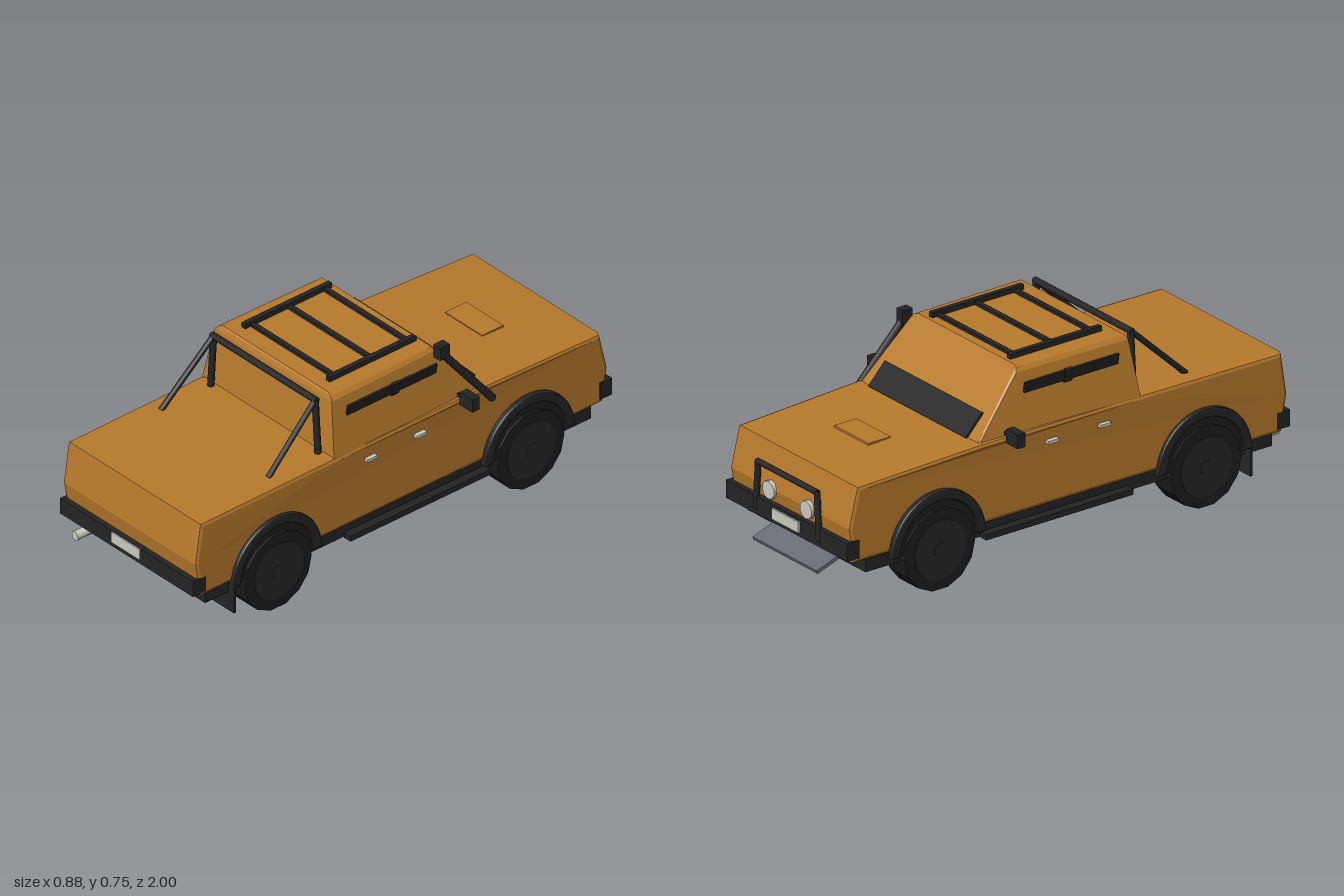
import * as THREE from 'three';
import { toCreasedNormals } from 'three/addons/utils/BufferGeometryUtils.js';
import { ConvexGeometry } from 'three/addons/geometries/ConvexGeometry.js';

const mat = (name, color) => new THREE.MeshStandardMaterial({ name, color });

export function createModel() {
  const paint = mat('orange paint', 0xb87a2c);
  const trim = mat('black trim', 0x242424);
  const rubber = mat('tyre rubber', 0x1c1c1c);
  const rim = mat('dark rim', 0x262626);
  const silver = mat('pale silver', 0xcaccc2);
  const steel = mat('skid grey', 0x6a6a72);

  const truck = new THREE.Group();
  truck.name = 'pickupTruck';

  const add = (name, geo, material, x = 0, y = 0, z = 0) => {
    const mesh = new THREE.Mesh(geo, material);
    mesh.name = name;
    mesh.position.set(x, y, z);
    truck.add(mesh);
    return mesh;
  };
  // box given by its limits on each axis
  const box = (name, m, x0, x1, y0, y1, z0, z1) =>
    add(name, new THREE.BoxGeometry(x1 - x0, y1 - y0, z1 - z0), m,
      (x0 + x1) / 2, (y0 + y1) / 2, (z0 + z1) / 2);
  // straight round bar between two points
  const bar = (name, m, a, b, r) => {
    const p = new THREE.Vector3(...a), q = new THREE.Vector3(...b);
    const d = q.clone().sub(p);
    const mesh = add(name, new THREE.CylinderGeometry(r, r, d.length(), 10), m);
    mesh.position.copy(p).add(q).multiplyScalar(0.5);
    mesh.quaternion.setFromUnitVectors(new THREE.Vector3(0, 1, 0), d.normalize());
    return mesh;
  };
  // side profile (z, y) extruded across the width
  const extrudeX = (shape, width, bevel) => {
    const geo = new THREE.ExtrudeGeometry(shape, {
      depth: width - 2 * bevel, bevelEnabled: bevel > 0, bevelSize: bevel,
      bevelThickness: bevel, bevelOffset: -bevel, bevelSegments: 2, curveSegments: 16,
    });
    geo.translate(0, 0, -width / 2 + bevel);
    return geo.rotateY(-Math.PI / 2);
  };

  // lower body with a slightly narrower nose
  const profile = new THREE.Shape([
    [-0.955, 0.19], [0.955, 0.19], [0.98, 0.335], [0.955, 0.499], [0.3, 0.505],
    [-0.4, 0.507], [-0.94, 0.485], [-0.978, 0.33],
  ].map(p => new THREE.Vector2(...p)));
  const bodyGeo = extrudeX(profile, 0.72, 0.016);
  const pos = bodyGeo.attributes.position;
  for (let i = 0; i < pos.count; i++) {
    const t = Math.max(0, -pos.getZ(i) - 0.4) / 0.56;
    pos.setX(i, pos.getX(i) * (1 - 0.03 * t));
  }
  bodyGeo.computeVertexNormals();
  add('body', bodyGeo, paint);

  // cabin: belt, shoulder and roof outlines
  const cabinPoints = [];
  for (const s of [-1, 1]) {
    for (const [x, y, z] of [
      [0.358, 0.48, 0.325], [0.35, 0.48, -0.41], [0.356, 0.505, 0.322], [0.34, 0.505, -0.395],
      [0.316, 0.715, 0.298], [0.308, 0.715, -0.198],
      [0.303, 0.73, 0.292], [0.297, 0.73, -0.19], [0.285, 0.735, 0.285], [0.28, 0.735, -0.185],
    ]) cabinPoints.push(new THREE.Vector3(s * x, y, z));
  }
  add('cabin', new ConvexGeometry(cabinPoints), paint);
  box('hoodScoop', paint, -0.1, 0.1, 0.485, 0.503, -0.7, -0.6);

  // windscreen band lying on the sloping glass
  const screen = add('windscreen', new THREE.BoxGeometry(0.57, 0.11, 0.009), trim, 0, 0.548, -0.366);
  screen.rotation.x = Math.atan2(0.197, 0.21);

  // chassis, tail bumper, nose bumper, plates, exhaust and skid plate
  box('chassis', trim, -0.345, 0.345, 0.142, 0.192, -0.9, 0.92);
  box('rearBumper', trim, -0.36, 0.36, 0.205, 0.27, 0.93, 0.99);
  box('frontBumper', trim, -0.355, 0.355, 0.21, 0.28, -0.99, -0.935);
  box('rearPlate', silver, -0.078, 0.076, 0.224, 0.268, 0.988, 0.995);
  box('frontPlate', silver, -0.078, 0.078, 0.226, 0.268, -0.997, -0.988);
  bar('exhaust', silver, [-0.268, 0.158, 0.9], [-0.268, 0.158, 1], 0.018);
  const skid = add('skidPlate', new THREE.BoxGeometry(0.376, 0.014, 0.125), steel, 0, 0.133, -0.937);
  skid.rotation.x = -0.34;

  // bull bar and roof rack
  bar('bullBarTop', trim, [-0.175, 0.415, -0.985], [0.175, 0.415, -0.985], 0.012);
  for (const z of [-0.14, 0.03, 0.205])
    box('rackCrossbar', trim, -0.23, 0.23, 0.733, 0.746, z - 0.01, z + 0.01);

  // roll bar behind the cabin
  bar('rollBarTop', trim, [-0.285, 0.722, 0.34], [0.285, 0.722, 0.34], 0.013);

  // wheel arch: half ring, with a thin dark liner inside
  const ring = new THREE.Shape();
  ring.absarc(0, 0, 0.21, 0, Math.PI, false);
  ring.absarc(0, 0, 0.172, Math.PI, 0, true);
  const archGeo = extrudeX(ring, 0.036, 0.008);
  const liner = new THREE.Shape();
  liner.absarc(0, 0, 0.175, 0, Math.PI, false);
  const linerGeo = extrudeX(liner, 0.008, 0);
  const tyreGeo = toCreasedNormals(new THREE.CylinderGeometry(0.158, 0.158, 0.11, 14).rotateZ(Math.PI / 2), 0.3);
  const rimGeo = new THREE.CylinderGeometry(0.115, 0.115, 0.006, 20).rotateZ(Math.PI / 2);
  const hubGeo = new THREE.CylinderGeometry(0.028, 0.028, 0.01, 10).rotateZ(Math.PI / 2);

  for (const s of [-1, 1]) {
    const side = s > 0 ? 'left' : 'right';
    const sideBox = (name, m, x0, x1, ...r) =>
      box(side + name, m, Math.min(s * x0, s * x1), Math.max(s * x0, s * x1), ...r);

    // wheels and arches
    for (const [end, z] of [['Rear', 0.602], ['Front', -0.59]]) {
      add(side + end + 'Tyre', tyreGeo, rubber, s * 0.32, 0.157, z);
      add(side + end + 'Rim', rimGeo, rim, s * 0.375, 0.157, z);
      add(side + end + 'Hub', hubGeo, rim, s * 0.376, 0.157, z);
      add(side + end + 'Arch', archGeo, trim, s * 0.358, 0.172, z);
      add(side + end + 'ArchLiner', linerGeo, rubber, s * 0.36, 0.172, z);
    }
    sideBox('MudFlap', trim, 0.256, 0.375, 0.065, 0.19, 0.8, 0.81);
    sideBox('Step', trim, 0.35, 0.385, 0.142, 0.165, -0.39, 0.27);

    // mirror, door handles
    sideBox('Mirror', trim, 0.372, 0.44, 0.49, 0.545, -0.292, -0.257);
    sideBox('MirrorArm', trim, 0.335, 0.375, 0.51, 0.522, -0.28, -0.268);
    for (const z of [0.155, -0.078])
      sideBox('DoorHandle', silver, 0.355, 0.374, 0.433, 0.445, z - 0.024, z + 0.024);

    // side window band and its pillar, leaning out at the top
    const glass = add(side + 'Window', new THREE.BoxGeometry(0.009, 0.042, 0.42), trim, s * 0.333, 0.662, 0.03);
    const pillar = add(side + 'WindowPillar', new THREE.BoxGeometry(0.012, 0.052, 0.035), trim, s * 0.334, 0.66, 0.015);
    glass.rotation.z = pillar.rotation.z = -s * 0.17;

    // rack rail, roll bar legs
    sideBox('RackRail', trim, 0.218, 0.238, 0.733, 0.755, -0.17, 0.24);
    bar(side + 'RollBarPost', trim, [s * 0.29, 0.5, 0.34], [s * 0.275, 0.722, 0.34], 0.013);
    bar(side + 'RollBarBrace', trim, [s * 0.275, 0.722, 0.34], [s * 0.29, 0.5, 0.575], 0.011);

    // bull bar leg and round lamp
    bar(side + 'BullBarLeg', trim, [s * 0.185, 0.23, -0.985], [s * 0.172, 0.42, -0.985], 0.012);
    bar(side + 'Lamp', silver, [s * 0.11, 0.325, -0.96], [s * 0.11, 0.325, -0.988], 0.035);
  }

  // snorkel with square intake
  bar('snorkelPipe', trim, [0.328, 0.71, -0.21], [0.366, 0.447, -0.418], 0.015);
  box('snorkelIntake', trim, 0.309, 0.346, 0.693, 0.747, -0.233, -0.188);

  return truck;
}
